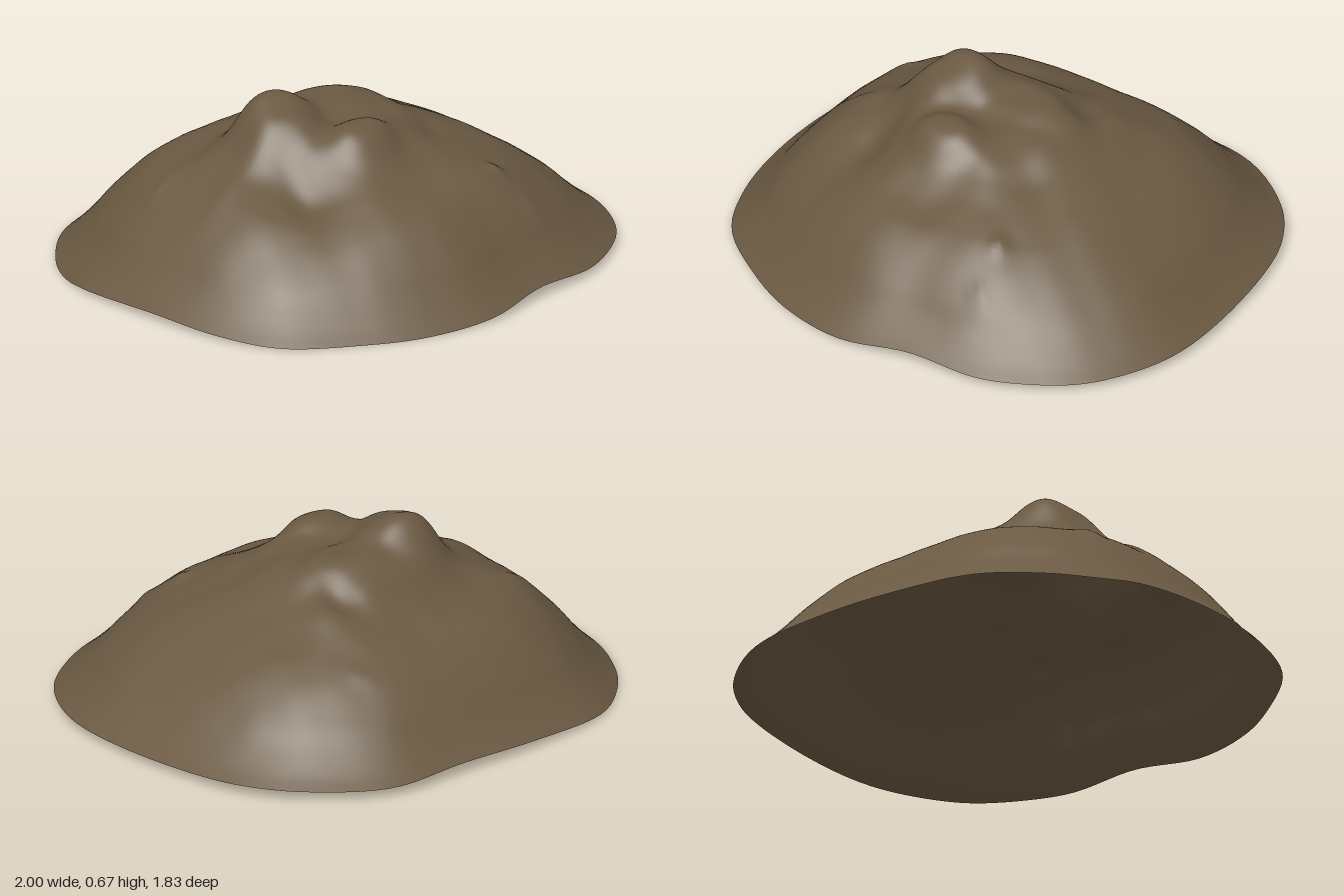
import * as THREE from 'three';

const SIDES = 128, RINGS = 64;

// Wavy ground edge (x, y, z), running front -> +x -> back -> -x
const rim = new THREE.CatmullRomCurve3([
  [-0.17, 0.018, 0.91], [0.12, 0.048, 0.89], [0.4, 0.032, 0.88], [0.57, 0.03, 0.825],
  [0.76, 0.03, 0.71], [0.89, 0.035, 0.55], [0.97, 0.038, 0.36], [0.995, 0.038, 0.08],
  [0.97, 0.042, -0.28], [0.92, 0.045, -0.47], [0.8, 0.045, -0.66], [0.53, 0.04, -0.86],
  [0.2, 0.05, -0.9], [-0.17, 0.035, -0.92], [-0.53, 0.015, -0.89], [-0.75, 0.006, -0.75],
  [-0.88, 0.004, -0.6], [-0.96, 0.02, -0.42], [-1, 0.035, -0.05], [-0.985, 0.02, 0.25],
  [-0.9, 0.006, 0.49], [-0.67, 0.004, 0.7], [-0.45, 0.004, 0.83],
].map(p => new THREE.Vector3(...p)), true);

// Height of the slope from the middle (0) to the ground edge (1)
const profile = [
  [0, 0.555], [0.2, 0.565], [0.29, 0.55], [0.38, 0.495], [0.47, 0.447], [0.56, 0.41], [0.64, 0.372],
  [0.72, 0.315], [0.82, 0.22], [0.88, 0.15], [0.95, 0.08], [1, 0.04],
];

// Ridges and hollows: x, z, spread x, spread z, height, steepness of the sides
const features = [
  [-0.26, -0.08, 0.15, 0.17, 0.07, 2],    // summit block
  [-0.28, -0.15, 0.1, 0.08, 0.035, 1],    // highest point
  [-0.42, -0.03, 0.07, 0.09, 0.035, 1],   // crag on the -x side of the summit
  [0, -0.09, 0.26, 0.12, 0.035, 2],       // summit ridge
  [-0.13, 0.23, 0.13, 0.11, 0.045, 2],    // front buttress of the plateau
  [0.2, 0.21, 0.15, 0.12, -0.035, 1],     // step down beside the buttress
  [0.2, -0.24, 0.06, 0.1, -0.035, 1],     // notch behind the ridge
  [0.31, -0.3, 0.08, 0.1, 0.025, 1],      // shoulder beyond the notch
  [-0.44, 0.21, 0.1, 0.13, -0.06, 1],     // gully on the front of the -x side
  [-0.58, -0.03, 0.12, 0.05, 0.02, 1],    // crag above the gully
  [-0.55, 0.39, 0.22, 0.18, -0.045, 1],   // low front corner on the -x side
  [0.52, 0.46, 0.22, 0.2, -0.035, 1],     // low front corner on the +x side
  [0.68, 0.1, 0.16, 0.25, -0.025, 1],     // gentler +x flank
  [-0.12, 0.48, 0.15, 0.1, -0.02, 1],     // shelf in the front face
  [-0.27, -0.38, 0.22, 0.1, -0.035, 1],   // foot of the back cliff
  [0.29, 0.52, 0.03, 0.04, 0.02, 1],      // small outcrops
  [0.31, 0.69, 0.025, 0.04, 0.015, 1],
  [0.39, -0.55, 0.03, 0.04, 0.01, 1],
  [-0.64, -0.33, 0.08, 0.025, 0.012, 1],
];

function slope(t) {
  const i = Math.max(1, profile.findIndex(p => p[0] >= t));
  const at = k => profile[Math.min(Math.max(k, 0), profile.length - 1)];
  const [a, b] = [at(i - 1), at(i)];
  const tangent = k => (at(k + 1)[1] - at(k - 1)[1]) / (at(k + 1)[0] - at(k - 1)[0]);
  const w = b[0] - a[0], s = (t - a[0]) / w;
  const m0 = (i === 1 ? 0 : tangent(i - 1)) * w, m1 = tangent(i) * w;
  return (2 * s ** 3 - 3 * s * s + 1) * a[1] + (s ** 3 - 2 * s * s + s) * m0
    + (3 * s * s - 2 * s ** 3) * b[1] + (s ** 3 - s * s) * m1;
}

function height(x, z, t, edge) {
  // features and weathering fade out at the ground edge
  const fade = 1 - t ** 8;
  let y = slope(t) + (edge - 0.04) * t ** 4;
  for (const [fx, fz, sx, sz, h, steep] of features) {
    const d = ((x - fx) / sx) ** 2 + ((z - fz) / sz) ** 2;
    y += fade * h * Math.exp(-(d ** steep));
  }
  const rough = 0.004 * Math.sin(11 * x + 4 * z) * Math.sin(9 * z - 5 * x)
    + 0.002 * Math.sin(27 * x - 8 * z) * Math.sin(23 * z + 9 * x);
  return y + rough * fade;
}

function moundGeometry() {
  const cx = -0.08, cz = 0;
  const positions = [cx, height(cx, cz, 0, 0), cz], index = [];
  for (let j = 1; j <= RINGS; j++) {
    const t = j / RINGS;
    for (let i = 0; i < SIDES; i++) {
      const e = rim.getPoint(i / SIDES);
      const x = cx + (e.x - cx) * t, z = cz + (e.z - cz) * t;
      positions.push(x, Math.max(0, height(x, z, t, e.y)), z);
    }
  }
  const at = (j, i) => 1 + (j - 1) * SIDES + (i % SIDES);
  for (let i = 0; i < SIDES; i++) {
    index.push(0, at(1, i), at(1, i + 1));
    for (let j = 1; j < RINGS; j++) {
      const a = at(j, i), b = at(j + 1, i), c = at(j + 1, i + 1), d = at(j, i + 1);
      index.push(a, b, c, a, c, d);
    }
  }
  const geometry = new THREE.BufferGeometry();
  geometry.setAttribute('position', new THREE.Float32BufferAttribute(positions, 3));
  geometry.setIndex(index);
  geometry.computeVertexNormals();
  return geometry;
}

export function createModel() {
  const earth = new THREE.MeshStandardMaterial({ color: 0x6a5942, side: THREE.DoubleSide });
  earth.name = 'earth brown';

  const group = new THREE.Group();
  group.name = 'hill';

  // Open shell, hollow underneath
  const mound = new THREE.Mesh(moundGeometry(), earth);
  mound.name = 'mound';
  group.add(mound);
  return group;
}
